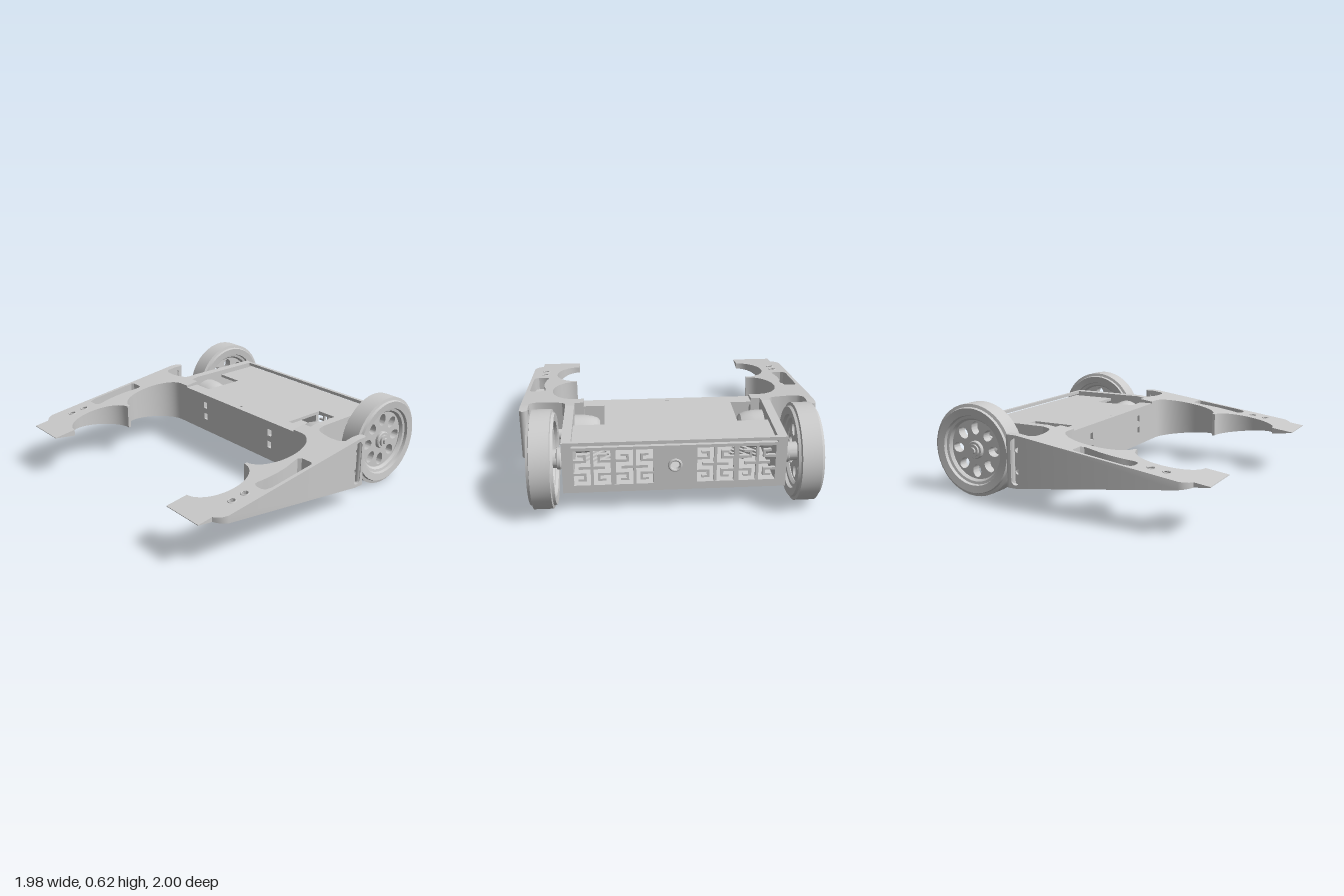
import * as THREE from 'three';
import { toCreasedNormals } from 'three/addons/utils/BufferGeometryUtils.js';

const MID = 0.32;
const half = (z) => 0.002 + 0.168 * Math.min(1, (1 - z) / 1.26); // wedge half thickness
const under = (z) => MID - half(z);
const over = (z) => MID + half(z);

export function createModel() {
  const root = new THREE.Group();
  const mat = new THREE.MeshStandardMaterial({ color: 0xcccccc });

  const add = (name, geo, parent = root) => {
    const m = new THREE.Mesh(toCreasedNormals(geo, 0.55), mat);
    m.name = name;
    parent.add(m);
    return m;
  };
  const box = (name, x0, x1, y0, y1, z0, z1, parent) =>
    add(name, new THREE.BoxGeometry(x1 - x0, y1 - y0, z1 - z0)
      .translate((x0 + x1) / 2, (y0 + y1) / 2, (z0 + z1) / 2), parent);
  const poly = (pts) => new THREE.Shape(pts.map(([x, y]) => new THREE.Vector2(x, y)));
  const rect = (x0, x1, y0, y1) => poly([[x0, y0], [x1, y0], [x1, y1], [x0, y1]]);
  const ellipse = (x, y, rx, ry, rot = 0) =>
    new THREE.Path().absellipse(x, y, rx, ry, 0, Math.PI * 2, false, rot);
  // rounded slot with a given length and width, turned by an angle
  const slot = (x, y, len, wid, ang) => {
    const pts = [], r = wid / 2, c = len / 2 - r;
    for (let i = 0; i < 16; i++) {
      const a = (i < 8 ? i / 7 : 1 + (i - 8) / 7) * Math.PI - Math.PI / 2;
      const u = (i < 8 ? c : -c) + r * Math.cos(a), v = r * Math.sin(a);
      pts.push([x + u * Math.cos(ang) - v * Math.sin(ang), y + u * Math.sin(ang) + v * Math.cos(ang)]);
    }
    return poly(pts);
  };
  const extrude = (shape, depth) =>
    new THREE.ExtrudeGeometry(shape, { depth, bevelEnabled: false, curveSegments: 20 });
  // plan outline (x, z) raised between two height rules
  const slab = (name, shape, bottom, top, parent) => {
    const g = extrude(shape, 1).rotateX(Math.PI / 2);
    const p = g.attributes.position;
    for (let i = 0; i < p.count; i++) {
      const z = p.getZ(i);
      p.setY(i, p.getY(i) < -0.5 ? bottom(z) : top(z));
    }
    return add(name, g, parent);
  };
  // profile of [radius, x] turned around the x axis, running from -x to +x on the outside
  const turned = (profile, seg = 36) =>
    new THREE.LatheGeometry(profile.map(([r, x]) => new THREE.Vector2(r, x)), seg).rotateZ(-Math.PI / 2);

  // ---- Chassis ----
  const floor = rect(-0.69, 0.69, -0.83, -0.26);
  for (const s of [-1, 1]) for (let i = -2; i <= 2; i++) {
    const d = i * 0.042 * Math.SQRT1_2;
    floor.holes.push(slot(s * (0.5 + d), -0.385 + d, 0.2 - Math.abs(i) * 0.035, 0.022, -s * Math.PI / 4));
  }
  slab('floor', floor, () => 0.15, () => 0.17);
  slab('floorFront', rect(-0.57, 0.57, -0.26, -0.1), under, (z) => under(z) + 0.02);

  const front = rect(-0.57, 0.57, 0.173, 0.455);
  for (const x of [-0.345, 0.345]) for (const y of [0.285, 0.373])
    front.holes.push(rect(x - 0.018, x + 0.018, y - 0.024, y + 0.024));
  add('frontWall', extrude(front, 0.04).translate(0, 0, -0.14));

  const back = rect(-0.63, 0.63, 0.15, 0.455);
  back.holes.push(ellipse(0, 0.32, 0.035, 0.035));
  for (const s of [-1, 1]) back.holes.push(rect(s * 0.378 - 0.243, s * 0.378 + 0.243, 0.2, 0.435));
  add('backWall', extrude(back, 0.03).translate(0, 0, -0.83));
  add('socketRing', new THREE.TorusGeometry(0.036, 0.009, 8, 24).translate(0, 0.32, -0.83));
  box('backLip', -0.63, 0.63, 0.468, 0.49, -0.83, -0.805);

  // sliding lid with notches for the motors
  const lid = poly([[-0.57, -0.1], [0.57, -0.1], [0.57, -0.2], [0.43, -0.2], [0.43, -0.5], [0.63, -0.5],
    [0.63, -0.83], [-0.63, -0.83], [-0.63, -0.5], [-0.43, -0.5], [-0.43, -0.2], [-0.57, -0.2]]);
  lid.holes.push(ellipse(0, -0.13, 0.021, 0.021));
  slab('lid', lid, () => 0.435, () => 0.455);

  // ---- Back grilles: mirrored key pattern ----
  for (const s of [-1, 1]) {
    const grille = new THREE.Group();
    grille.name = 'backGrille';
    root.add(grille);
    const bar = (x0, x1, y0, y1) => box('grilleBar', x0, x1, y0, y1, -0.828, -0.808, grille);
    bar(s * 0.378 - 0.016, s * 0.378 + 0.016, 0.2, 0.435);
    for (const t of [-1, 1]) {
      const cx = s * 0.378 + t * 0.13, cy = 0.3175;
      bar(cx - 0.009, cx + 0.009, 0.2, 0.435);
      bar(cx - 0.08, cx + 0.08, cy - 0.009, cy + 0.009);
      for (const u of [-1, 1]) for (const v of [-1, 1]) {
        const b = (x0, x1, y0, y1) => bar(
          cx + Math.min(u * x0, u * x1), cx + Math.max(u * x0, u * x1),
          cy + Math.min(v * y0, v * y1), cy + Math.max(v * y0, v * y1));
        b(0.035, 0.115, 0.036, 0.052);
        b(0.035, 0.05, 0.052, 0.09);
        b(0.05, 0.085, 0.076, 0.09);
      }
    }
  }

  // ---- Mirrored parts ----
  for (const s of [-1, 1]) {
    const mx = (pts) => pts.map(([x, z]) => [s * x, z]);
    box('sideWall', s > 0 ? 0.63 : -0.69, s > 0 ? 0.69 : -0.63, 0.15, 0.49, -0.83, -0.26);

    // wedge arm with two round bites on its inner edge
    const outline = [[0.57, -0.1]];
    for (const [cz, rz] of [[0.14, 0.24], [0.625, 0.225]])
      for (let i = 0; i <= 24; i++) {
        const a = -Math.PI / 2 + (i / 24) * Math.PI;
        outline.push([0.64 + 0.16 * Math.cos(a), cz + rz * Math.sin(a)]);
      }
    outline.push([0.64, 1], [0.93, 1], [0.93, 0.9], [0.955, 0.885], [0.978, 0.86], [0.99, 0.83],
      [0.99, -0.2], [0.935, -0.2], [0.92, -0.18], [0.895, -0.169], [0.83, -0.166], [0.76, -0.178],
      [0.715, -0.192], [0.695, -0.215], [0.69, -0.26], [0.63, -0.26], [0.63, -0.2], [0.57, -0.2]);
    const pocket = mx([[0.87, 0.13], [0.95, 0.13], [0.965, 0.145], [0.967, 0.48], [0.955, 0.515], [0.935, 0.528],
      [0.885, 0.528], [0.862, 0.515], [0.858, 0.495], [0.87, 0.43], [0.876, 0.35], [0.872, 0.27],
      [0.857, 0.19], [0.853, 0.15]]);
    const arm = poly(mx(outline));
    arm.holes.push(poly(pocket));
    for (const z of [0.62, 0.72]) arm.holes.push(ellipse(s * 0.89, z, 0.022, 0.022));
    slab('arm', arm, under, over);
    slab('armPocketFloor', poly(pocket), under, (z) => MID - 0.4 * half(z));
    for (const z of [0.62, 0.72])
      add('armHoleRim', new THREE.TorusGeometry(0.024, 0.005, 6, 24).rotateX(Math.PI / 2)
        .rotateX(0.134).translate(s * 0.89, over(z), z));

    // upright plate at the arm's rear, with a slotted recess and rounded end
    const plate = poly([[-0.2, under(-0.2)], [-0.2, over(-0.2)], [-0.26, 0.49], [-0.315, 0.49],
      [-0.315, 0.15], [-0.26, 0.15]]);
    plate.holes.push(slot(-0.27, MID, 0.3, 0.058, Math.PI / 2));
    const x0 = s > 0 ? 0.935 : -0.99;
    add('armRearPlate', extrude(plate, 0.055).rotateY(-Math.PI / 2).scale(1, 1, 1).translate(x0 + 0.055, 0, 0));
    add('armRearEnd', new THREE.CylinderGeometry(0.0275, 0.0275, 0.34, 20).translate(s * 0.9625, MID, -0.315));
    const web = slot(-0.27, MID, 0.3, 0.058, Math.PI / 2);
    for (const y of [0.25, 0.39]) web.holes.push(ellipse(-0.27, y, 0.016, 0.016));
    add('armRearRecess', extrude(web, 0.015).rotateY(-Math.PI / 2).translate(s * 0.9525 + 0.0075, 0, 0));

    // drive motor and friction roller, shared axis along x
    const drive = new THREE.Group();
    drive.name = 'drive';
    drive.position.set(0, MID, -0.345);
    drive.rotation.y = s > 0 ? 0 : Math.PI;
    if (s < 0) drive.position.z = -0.345;
    root.add(drive);
    add('motor', turned([[0, 0.43], [0.04, 0.432], [0.045, 0.46], [0.085, 0.46], [0.105, 0.475], [0.118, 0.51],
      [0.126, 0.56], [0.128, 0.625], [0, 0.63]]), drive);
    add('roller', turned([[0, 0.62], [0.03, 0.62], [0.03, 0.69], [0.036, 0.695], [0.036, 0.845],
      [0.028, 0.85], [0, 0.85]], 14), drive);

    // wheel, local +x pointing outward
    const wheel = new THREE.Group();
    wheel.name = 'wheel';
    wheel.position.set(s * 0.81, MID, -0.69);
    wheel.rotation.y = s > 0 ? 0 : Math.PI;
    root.add(wheel);
    const side = [[0.2, 0.035], [0.212, 0.052], [0.23, 0.055], [0.235, 0.075], [0.284, 0.08], [0.29, 0.064], [0.31, 0.06]];
    add('tyre', turned([...side.map(([r, x]) => [r, -x]), ...[...side].reverse(), [0.2, -0.035]], 40), wheel);
    const disc = new THREE.Shape().absarc(0, 0, 0.207, 0, Math.PI * 2);
    for (let i = 0; i < 8; i++) {
      const a = (i * Math.PI) / 4;
      disc.holes.push(ellipse(0.145 * Math.cos(a), 0.145 * Math.sin(a), 0.043, 0.033, a));
    }
    add('wheelDisc', extrude(disc, 0.06).rotateY(Math.PI / 2).translate(-0.03, 0, 0), wheel);
    add('hub', turned([[0, -0.12], [0.05, -0.12], [0.07, -0.105], [0.07, -0.085], [0.06, -0.08], [0.06, 0.045],
      [0.055, 0.052], [0.04, 0.052], [0.04, 0.066], [0.022, 0.066], [0.02, 0.078], [0, 0.078]]), wheel);
  }
  return root;
}
